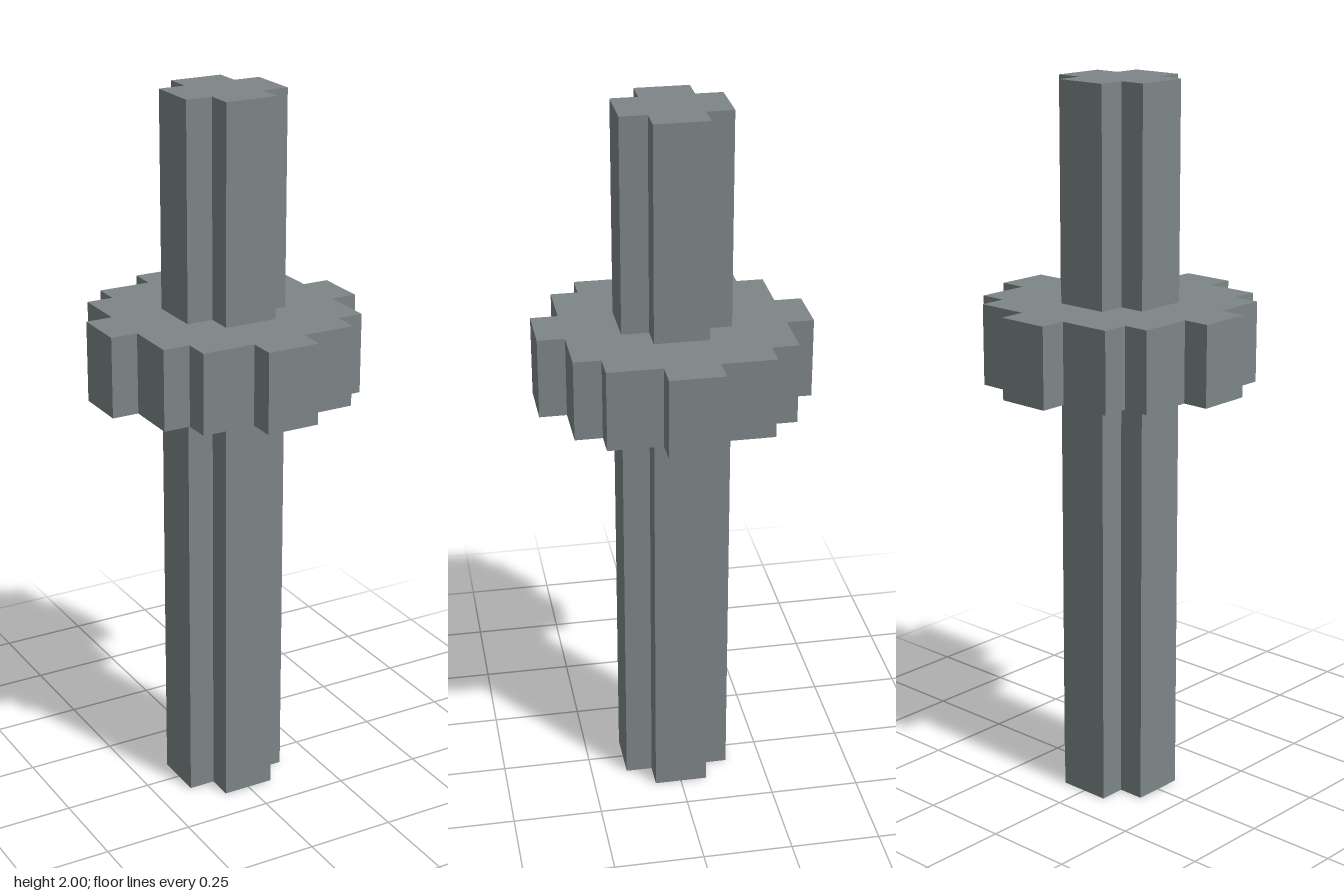
import * as THREE from 'three';

const U = 2 / 27; // one block of the stepped grid

// Turn one quarter of a stepped outline through four turns and extrude it upward
function steppedPrism(name, quarter, bottom, top, material) {
  const points = [];
  for (let turn = 0; turn < 4; turn++) {
    for (const [a, b] of quarter) {
      const [x, y] = [[a, b], [-b, a], [-a, -b], [b, -a]][turn];
      points.push(new THREE.Vector2(x * U, y * U));
    }
  }
  const geometry = new THREE.ExtrudeGeometry(new THREE.Shape(points), {
    depth: (top - bottom) * U,
    bevelEnabled: false,
  });
  geometry.rotateX(-Math.PI / 2);
  geometry.translate(0, bottom * U, 0);
  const mesh = new THREE.Mesh(geometry, material);
  mesh.name = name;
  return mesh;
}

export function createModel() {
  const group = new THREE.Group();
  group.name = 'collaredShaft';
  const steel = new THREE.MeshStandardMaterial({ color: 0x7d8587 });
  steel.name = 'steel grey';

  // Cross-shaped shaft running the full height
  group.add(steppedPrism('shaft', [[2, 1], [1, 1], [1, 2]], 0, 27, steel));

  // Stepped round collar above the middle
  const collar = [[5, 1], [4, 1], [4, 3], [3, 3], [3, 4], [1, 4], [1, 5]];
  group.add(steppedPrism('collar', collar, 16, 19, steel));

  return group;
}
